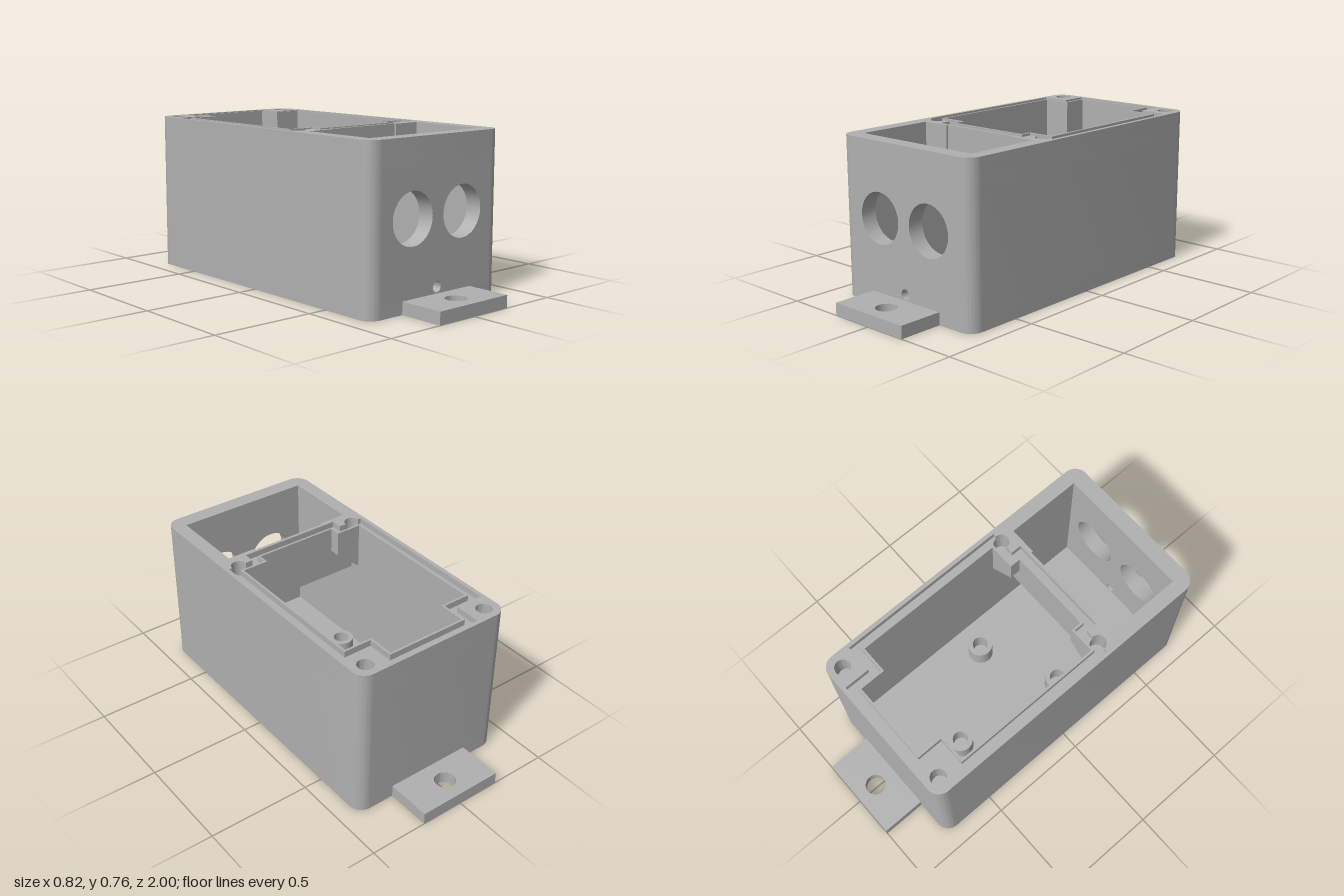
import * as THREE from 'three';
import { toCreasedNormals } from 'three/addons/utils/BufferGeometryUtils.js';

export function createModel() {
  const model = new THREE.Group();
  model.name = 'enclosure';
  const grey = new THREE.MeshStandardMaterial({ color: 0xb0b0b0 });
  grey.name = 'grey';

  // Main levels and sizes
  const W = 0.41, L = 0.78, R = 0.065, IN = 0.34, BACK = -0.71, FRONT = 0.7;
  const FLOOR = 0.06, LEDGE = 0.64, GROOVE = 0.735, TOP = 0.765;
  const SCREW_X = 0.335, SCREW_R = 0.038, SCREW_BACK = -0.71, SCREW_FRONT = 0.235;

  const add = (name, geo) => {
    const mesh = new THREE.Mesh(toCreasedNormals(geo, 0.6), grey);
    mesh.name = name;
    model.add(mesh);
    return mesh;
  };
  const extrude = (shape, depth) =>
    new THREE.ExtrudeGeometry(shape, { depth, bevelEnabled: false, curveSegments: 16 });
  // Plan shape drawn in (x, z), filling the height y0..y1
  const slab = (name, shape, y0, y1) =>
    add(name, extrude(shape, y1 - y0).rotateX(Math.PI / 2).translate(0, y1, 0));
  // Elevation shape drawn in (x, y), filling z0..z1
  const panel = (name, shape, z0, z1) =>
    add(name, extrude(shape, z1 - z0).translate(0, 0, z0));
  const poly = (pts) => new THREE.Shape(pts.map(([x, y]) => new THREE.Vector2(x, y)));
  const rect = (x0, y0, x1, y1) => poly([[x0, y0], [x1, y0], [x1, y1], [x0, y1]]);
  const circle = (x, y, r) => new THREE.Path().absarc(x, y, r, 0, Math.PI * 2, false);

  const outline = () => {
    const s = new THREE.Shape();
    s.absarc(W - R, L - R, R, 0, Math.PI / 2);
    s.absarc(R - W, L - R, R, Math.PI / 2, Math.PI);
    s.absarc(R - W, R - L, R, Math.PI, Math.PI * 1.5);
    s.absarc(W - R, R - L, R, Math.PI * 1.5, Math.PI * 2);
    s.closePath();
    return s;
  };

  // Main opening, grown outward by d; bulge opens the groove into the front screw holes
  const opening = (d, bulge = false) => {
    const half = [
      [0.2 + d, BACK - d], [0.2 + d, -0.58 - d], [IN + d, -0.58 - d], [IN + d, 0.185 + d],
    ];
    if (bulge) {
      for (let i = 0; i <= 12; i++) {
        const a = (Math.PI * i) / 12;
        half.push([SCREW_X + SCREW_R * Math.cos(a), SCREW_FRONT + SCREW_R * Math.sin(a)]);
      }
    }
    half.push([0.21 + d, 0.185 + d], [0.21 + d, 0.24 + d]);
    return poly([...half, ...half.map(([x, z]) => [-x, z]).reverse()]);
  };
  const frontOpening = () => poly([
    [-IN, FRONT], [-IN, 0.315], [-0.2, 0.315], [-0.2, 0.305],
    [0.2, 0.305], [0.2, 0.315], [IN, 0.315], [IN, FRONT],
  ]);

  // Floor
  slab('floor', outline(), 0, FLOOR);

  // Side and back walls, open where the front panel sits
  const walls = new THREE.Shape();
  walls.moveTo(IN, L);
  walls.lineTo(W - R, L);
  walls.absarc(W - R, L - R, R, Math.PI / 2, 0, true);
  walls.absarc(W - R, R - L, R, 0, -Math.PI / 2, true);
  walls.absarc(R - W, R - L, R, -Math.PI / 2, -Math.PI, true);
  walls.absarc(R - W, L - R, R, Math.PI, Math.PI / 2, true);
  [[-IN, L], [-IN, BACK], [IN, BACK]].forEach(([x, z]) => walls.lineTo(x, z));
  walls.closePath();
  slab('sideWalls', walls, FLOOR, LEDGE);

  // Front panel with two cable openings and a drain hole
  const front = rect(-IN, FLOOR, IN, LEDGE);
  front.holes.push(circle(-0.156, 0.412, 0.122), circle(0.156, 0.412, 0.122), circle(0, 0.09, 0.025));
  panel('frontPanel', front, FRONT, L);

  // Partition hanging between the two compartments
  panel('partition', rect(-IN, 0.5, IN, LEDGE), 0.24, 0.305);

  // Screw bosses with sloped undersides
  for (const s of [-1, 1]) {
    panel('backBoss', poly([[s * 0.2, LEDGE], [s * IN, LEDGE], [s * IN, 0.41], [s * 0.2, 0.535]]), BACK, -0.58);
    panel('frontBoss', poly([[s * 0.21, LEDGE], [s * IN, LEDGE], [s * IN, 0.53]]), 0.185, 0.24);
    panel('partitionCheek', rect(Math.min(s * 0.2, s * IN), 0.5, Math.max(s * 0.2, s * IN), LEDGE), 0.305, 0.315);
  }

  // Ledge that forms the groove floor
  const ledge = outline();
  ledge.holes.push(opening(0), frontOpening());
  for (const x of [-SCREW_X, SCREW_X])
    for (const z of [SCREW_BACK, SCREW_FRONT]) ledge.holes.push(circle(x, z, SCREW_R));
  slab('ledge', ledge, LEDGE, GROOVE);

  // Top rim around the gasket groove
  const rim = outline();
  rim.holes.push(opening(0.05, true), frontOpening());
  for (const x of [-SCREW_X, SCREW_X]) rim.holes.push(circle(x, SCREW_BACK, SCREW_R));
  slab('rim', rim, GROOVE, TOP);

  // Thin lip around the main opening
  const lip = opening(0.011);
  lip.holes.push(opening(0));
  slab('lip', lip, GROOVE, TOP);

  // Hollow standoffs on the floor
  for (const [x, z] of [[-0.125, -0.44], [0.19, 0.04 * -1], [-0.2, 0.14]]) {
    const ring = new THREE.Shape().absarc(x, z, 0.062, 0, Math.PI * 2, false);
    ring.holes.push(circle(x, z, 0.038));
    slab('standoff', ring, FLOOR, 0.17);
  }

  // Mounting tabs
  for (const s of [-1, 1]) {
    const tab = rect(-0.215, Math.min(s * L, s), 0.215, Math.max(s * L, s));
    tab.holes.push(circle(0, s * 0.893, 0.05));
    slab('mountingTab', tab, 0, 0.06);
  }
  return model;
}
